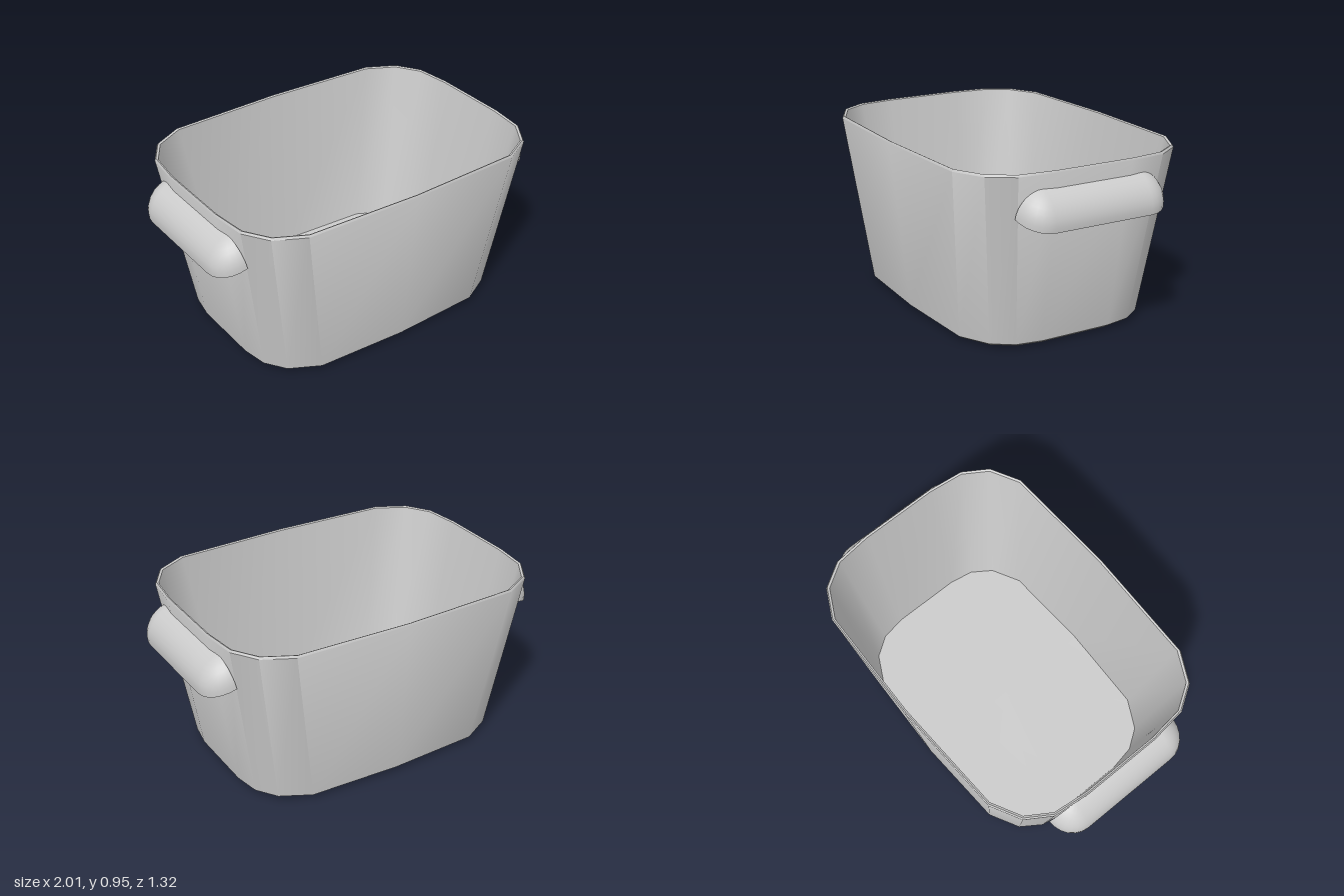
import * as THREE from 'three';
import { toCreasedNormals } from 'three/addons/utils/BufferGeometryUtils.js';

const material = new THREE.MeshStandardMaterial({ color: 0xcccccc, side: THREE.DoubleSide });

// Joins rows of points with quads; skips triangles that collapse to a line.
function loft(rows, closed) {
  const pos = [];
  const tri = (a, b, c) => {
    if (a.distanceTo(b) < 1e-6 || b.distanceTo(c) < 1e-6 || c.distanceTo(a) < 1e-6) return;
    for (const p of [a, b, c]) pos.push(p.x, p.y, p.z);
  };
  for (let r = 0; r < rows.length - 1; r++) {
    const lo = rows[r], hi = rows[r + 1], n = lo.length;
    for (let i = 0; i < (closed ? n : n - 1); i++) {
      const j = (i + 1) % n;
      tri(lo[i], lo[j], hi[j]);
      tri(lo[i], hi[j], hi[i]);
    }
  }
  const g = new THREE.BufferGeometry();
  g.setAttribute('position', new THREE.Float32BufferAttribute(pos, 3));
  return toCreasedNormals(g, 0.7);
}

// One quarter of the outline (x, z) at the base and at the rim.
const BASE = [[0, 0.557], [0.505, 0.535], [0.665, 0.45], [0.74, 0.34], [0.765, 0.2]];
const RIM = [[0, 0.66], [0.64, 0.637], [0.8, 0.553], [0.885, 0.42], [0.908, 0.22]];

// Full outline at height y: t blends base to rim, inset shrinks it inward.
function ring(y, t, inset, scale = 1) {
  const q = BASE.map(([x, z], i) => {
    const px = THREE.MathUtils.lerp(x, RIM[i][0], t);
    const pz = THREE.MathUtils.lerp(z, RIM[i][1], t);
    const hx = THREE.MathUtils.lerp(0.765, 0.908, t), hz = THREE.MathUtils.lerp(0.557, 0.66, t);
    return [px * (1 - inset / hx) * scale, pz * (1 - inset / hz) * scale];
  });
  const right = [...q, ...q.slice(1).reverse().map(([x, z]) => [x, -z]), [q[0][0], -q[0][1]]];
  const left = right.slice(1, -1).reverse().map(([x, z]) => [-x, z]);
  return [...right, ...left].map(([x, z]) => new THREE.Vector3(x, y, z));
}

// Half-dome grip with rounded ends, open underneath.
function gripGeometry() {
  const steps = 6, bend = 8, rows = [];
  for (let k = 0; k <= bend; k++) {
    const v = (k / bend) * Math.PI / 2, c = Math.cos(v), s = Math.sin(v);
    const row = [];
    for (const side of [1, -1]) {
      for (let i = 0; i <= steps; i++) {
        const a = (side > 0 ? 1 - i / steps : i / steps) * Math.PI / 2;
        row.push(new THREE.Vector3(
          0.855 + c * Math.cos(a) * 0.145 + s * 0.03,
          0.725 - c * Math.cos(a) * 0.05 + s * 0.14,
          side * (0.28 + c * Math.sin(a) * 0.14)));
      }
    }
    rows.push(row);
  }
  return loft(rows, false);
}

export function createModel() {
  const group = new THREE.Group();

  // Tub: underside, bevel, outer wall, rim, inner wall, floor
  const tub = new THREE.Mesh(loft([
    ring(0, 0, 0, 0),
    ring(0.007, 0, 0.025),
    ring(0.025, 0, 0),
    ring(0.938, 1, 0),
    ring(0.95, 1, 0.006),
    ring(0.945, 1, 0.016),
    ring(0.035, 0, 0.02),
    ring(0.03, 0, 0, 0),
  ], true), material);
  tub.name = 'tub';
  group.add(tub);

  // Handles on both short sides
  const grip = gripGeometry();
  for (const [name, turn] of [['leftHandle', 0], ['rightHandle', Math.PI]]) {
    const handle = new THREE.Mesh(grip, material);
    handle.name = name;
    handle.rotation.y = turn;
    group.add(handle);
  }
  return group;
}
